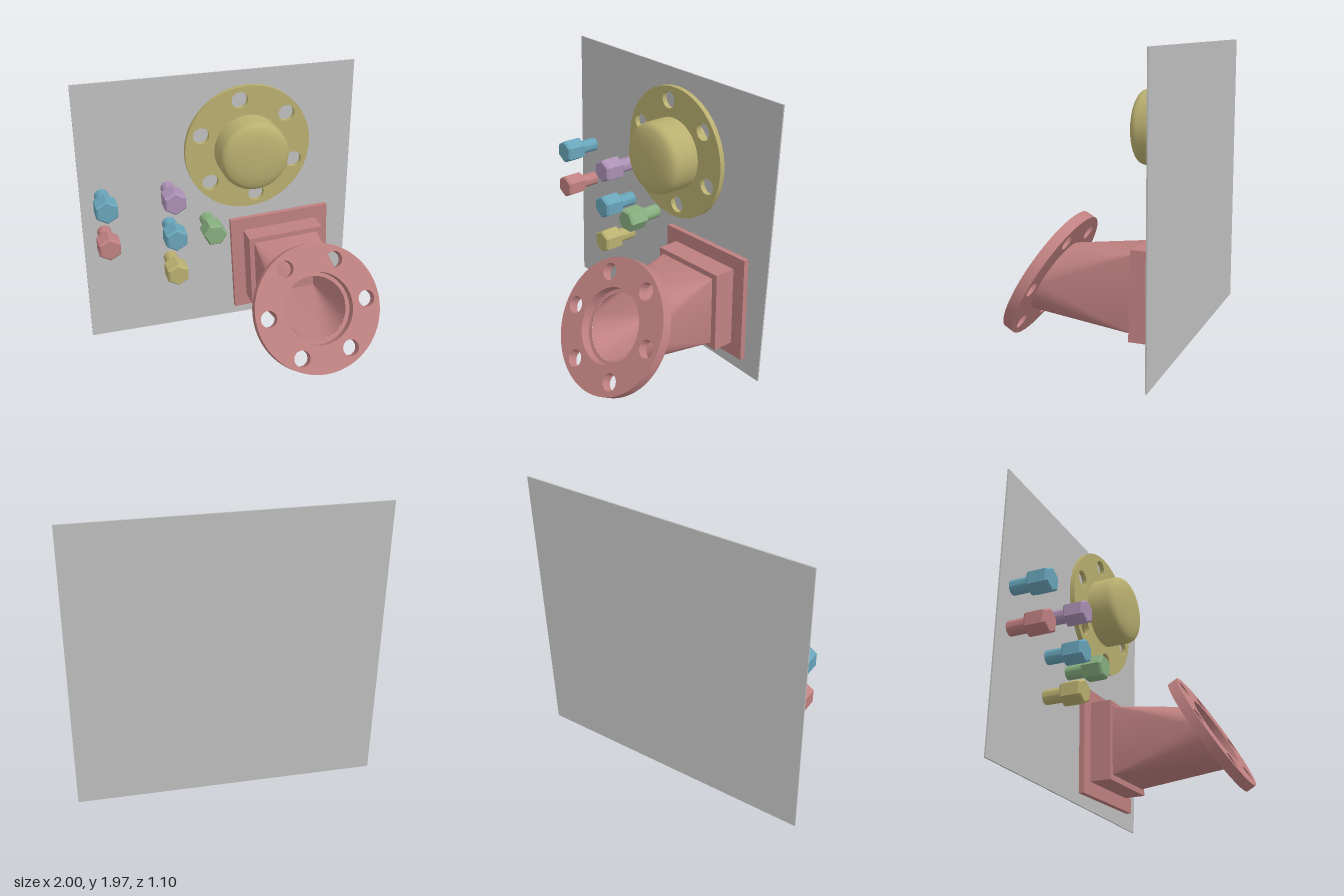
import * as THREE from 'three';
import { toCreasedNormals } from 'three/addons/utils/BufferGeometryUtils.js';

const mat = (name, color) => Object.assign(new THREE.MeshStandardMaterial({ color }), { name });
const SHEET = -0.535; // front surface of the sheet
const TWIST = THREE.MathUtils.degToRad(2.7);
const TILT = Math.PI / 6;

function add(parent, name, geometry, material, x = 0, y = 0, z = 0) {
  const mesh = new THREE.Mesh(geometry, material);
  mesh.name = name;
  mesh.position.set(x, y, z);
  parent.add(mesh);
  return mesh;
}

// Flat ring with six bolt holes, extruded along +z
function flangeGeometry(bore, depth, holeStart) {
  const shape = new THREE.Shape().absarc(0, 0, 0.453, 0, Math.PI * 2);
  shape.holes.push(new THREE.Path().absarc(0, 0, bore, 0, Math.PI * 2, true));
  for (let i = 0; i < 6; i++) {
    const a = holeStart + i * Math.PI / 3;
    shape.holes.push(new THREE.Path().absarc(0.36 * Math.cos(a), 0.36 * Math.sin(a), 0.058, 0, Math.PI * 2, true));
  }
  const g = new THREE.ExtrudeGeometry(shape, { depth, bevelEnabled: false, curveSegments: 48 });
  return toCreasedNormals(g, 0.6);
}

// Lathe turned so that its axis runs along z; points are (radius, z)
function turned(points, sides, crease) {
  const g = new THREE.LatheGeometry(points.map(p => new THREE.Vector2(...p)), sides);
  return toCreasedNormals(g.rotateX(Math.PI / 2), crease);
}

// Square-to-round duct wall: a cone fan at each corner and a flat triangle on each side
function ductGeometry(half, radius, center, backZ, inside) {
  const N = 16, ring = [], pos = [];
  for (let q = 0; q < 4; q++) {
    const c = q * Math.PI / 2 + Math.PI / 4 + TWIST;
    const corner = new THREE.Vector3(center.x + half * Math.SQRT2 * Math.cos(c), center.y + half * Math.SQRT2 * Math.sin(c), backZ);
    for (let i = 0; i <= N; i++) {
      const a = (q + i / N) * Math.PI / 2 + TWIST;
      const front = new THREE.Vector3(radius * Math.cos(a), radius * Math.sin(a), 0)
        .applyAxisAngle(new THREE.Vector3(1, 0, 0), -TILT).add(center);
      ring.push({ front, corner });
    }
  }
  ring.forEach((p, i) => {
    const n = ring[(i + 1) % ring.length];
    const tri = p.corner === n.corner ? [p.corner, n.front, p.front] : [p.corner, n.corner, p.front];
    if (inside) tri.reverse();
    tri.forEach(v => pos.push(v.x, v.y, v.z));
  });
  const g = new THREE.BufferGeometry();
  g.setAttribute('position', new THREE.Float32BufferAttribute(pos, 3));
  return toCreasedNormals(g, 0.4);
}

export function createModel() {
  const grey = mat('sheet grey', 0xbfbfbf);
  const yellow = mat('ochre yellow', 0xb9af70);
  const red = mat('dusty red', 0xbf8080);
  const blue = mat('steel blue', 0x68a4b9);
  const purple = mat('soft purple', 0xab90b4);
  const green = mat('leaf green', 0x87ae80);
  const model = new THREE.Group();
  model.name = 'flangedFittings';

  // Backing sheet
  add(model, 'backingSheet', new THREE.BoxGeometry(2, 1.965, 0.01), grey, 0, 0.9825, SHEET - 0.005);

  // Domed cover with its flange
  const cover = new THREE.Group();
  cover.name = 'domedCover';
  cover.position.set(0.185, 1.435, 0);
  model.add(cover);
  add(cover, 'coverFlange', flangeGeometry(0.24, 0.035, THREE.MathUtils.degToRad(39.7)), yellow, 0, 0, -0.455);
  const crown = new THREE.SplineCurve([
    [0.245, -0.275], [0.24, -0.25], [0.225, -0.228], [0.195, -0.212], [0.15, -0.2], [0.08, -0.192], [0, -0.19],
  ].map(p => new THREE.Vector2(...p))).getPoints(24).map(p => [Math.max(p.x, 0), p.y]);
  add(cover, 'coverDome', turned([[0, SHEET], [0.245, SHEET], ...crown], 64, 0.6), yellow);

  // Hexagonal bolts
  const headGeo = turned([[0, -0.4], [0.076, -0.4], [0.086, -0.387], [0.086, -0.265], [0.073, -0.25], [0, -0.25]], 6, 0.2);
  const shaftGeo = turned([[0, SHEET], [0.05, SHEET], [0.05, -0.395], [0, -0.395]], 32, 0.6);
  [
    [-0.85, 1.152, blue], [-0.38, 1.152, purple], [-0.85, 0.867, red],
    [-0.38, 0.867, blue], [-0.1, 0.867, green, Math.PI / 6], [-0.38, 0.585, yellow],
  ].forEach(([x, y, material, turn = 0]) => {
    const bolt = new THREE.Group();
    bolt.name = 'bolt';
    bolt.position.set(x, y, 0);
    bolt.rotation.z = turn;
    add(bolt, 'boltHead', headGeo, material);
    add(bolt, 'boltShaft', shaftGeo, material);
    model.add(bolt);
  });

  // Duct elbow: stepped square base, square-to-round wall, tilted flange
  const duct = new THREE.Group();
  duct.name = 'ductElbow';
  model.add(duct);
  const baseFront = -0.345;
  const plate = add(duct, 'basePlate', new THREE.BoxGeometry(0.755, 0.755, 0.038), red, 0.47, 0.474, SHEET + 0.019);
  const block = add(duct, 'baseBlock', new THREE.BoxGeometry(0.565, 0.565, 0.155), red, 0.47, 0.474, baseFront - 0.0775);
  plate.rotation.z = block.rotation.z = TWIST;
  const center = new THREE.Vector3(0.467, 0.475, 0.265);
  add(duct, 'ductOuterWall', ductGeometry(0.244, 0.257, center, baseFront, false), red);
  add(duct, 'ductInnerWall', ductGeometry(0.215, 0.225, center, baseFront, true), red);
  const mouth = new THREE.Group();
  mouth.name = 'ductMouth';
  mouth.position.copy(center);
  mouth.rotation.x = -TILT;
  duct.add(mouth);
  add(mouth, 'mouthFlange', flangeGeometry(0.253, 0.07, TWIST), red);
  add(mouth, 'mouthStep', new THREE.RingGeometry(0.225, 0.257, 64), red, 0, 0, 0.001);

  return model;
}
